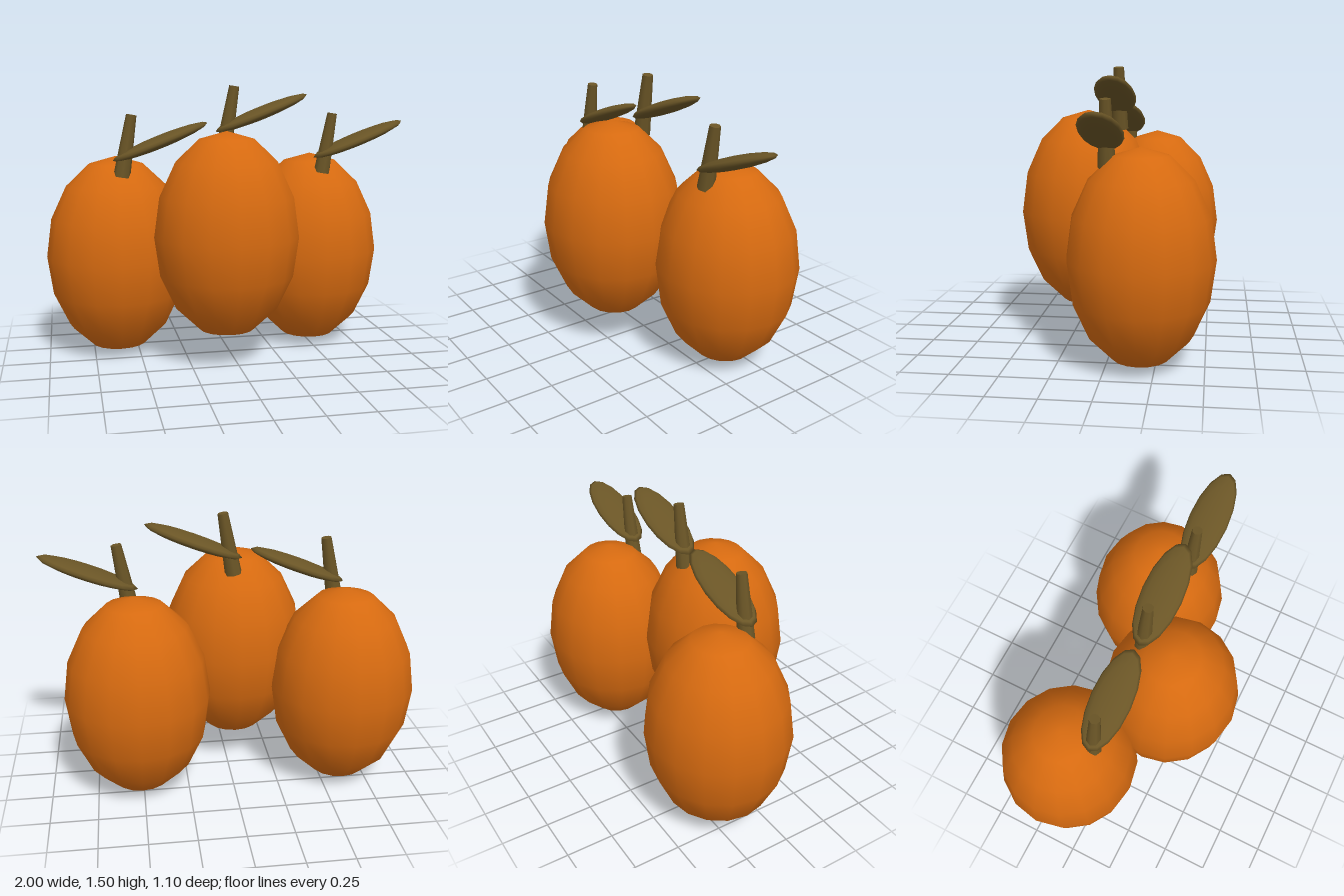
import * as THREE from 'three';

export function createModel() {
  const group = new THREE.Group();
  const orange = new THREE.MeshStandardMaterial({ color: 0xd66a10 });
  orange.name = 'orange skin';
  const olive = new THREE.MeshStandardMaterial({ color: 0x6a5526 });
  olive.name = 'olive brown';

  const ball = new THREE.SphereGeometry(1, 16, 8);
  const stemGeo = new THREE.CylinderGeometry(0.028, 0.046, 0.337, 8);

  function add(parent, name, geo, mat, x, y, z) {
    const mesh = new THREE.Mesh(geo, mat);
    mesh.name = name;
    mesh.position.set(x, y, z);
    parent.add(mesh);
    return mesh;
  }

  // x, y, z of each fruit centre; stems and leaves share one depth
  const fruits = [
    ['rightFruit', -0.61, 0.56, -0.175],
    ['middleFruit', -0.05, 0.71, 0.17],
    ['leftFruit', 0.51, 0.56, -0.175],
  ];
  for (const [name, x, y, z] of fruits) {
    const fruit = new THREE.Group();
    fruit.name = name;
    // Oval body
    add(fruit, 'body', ball, orange, x, y, z).scale.set(0.39, 0.555, 0.375);
    // Tapered, leaning stem
    add(fruit, 'stem', stemGeo, olive, x + 0.049, y + 0.621, -0.008).rotation.z = -0.17;
    // Flat oval leaf rising to the side
    const leaf = add(fruit, 'leaf', ball, olive, x + 0.231, y + 0.642, -0.008);
    leaf.scale.set(0.276, 0.034, 0.107);
    leaf.rotation.z = 0.37;
    group.add(fruit);
  }
  return group;
}
